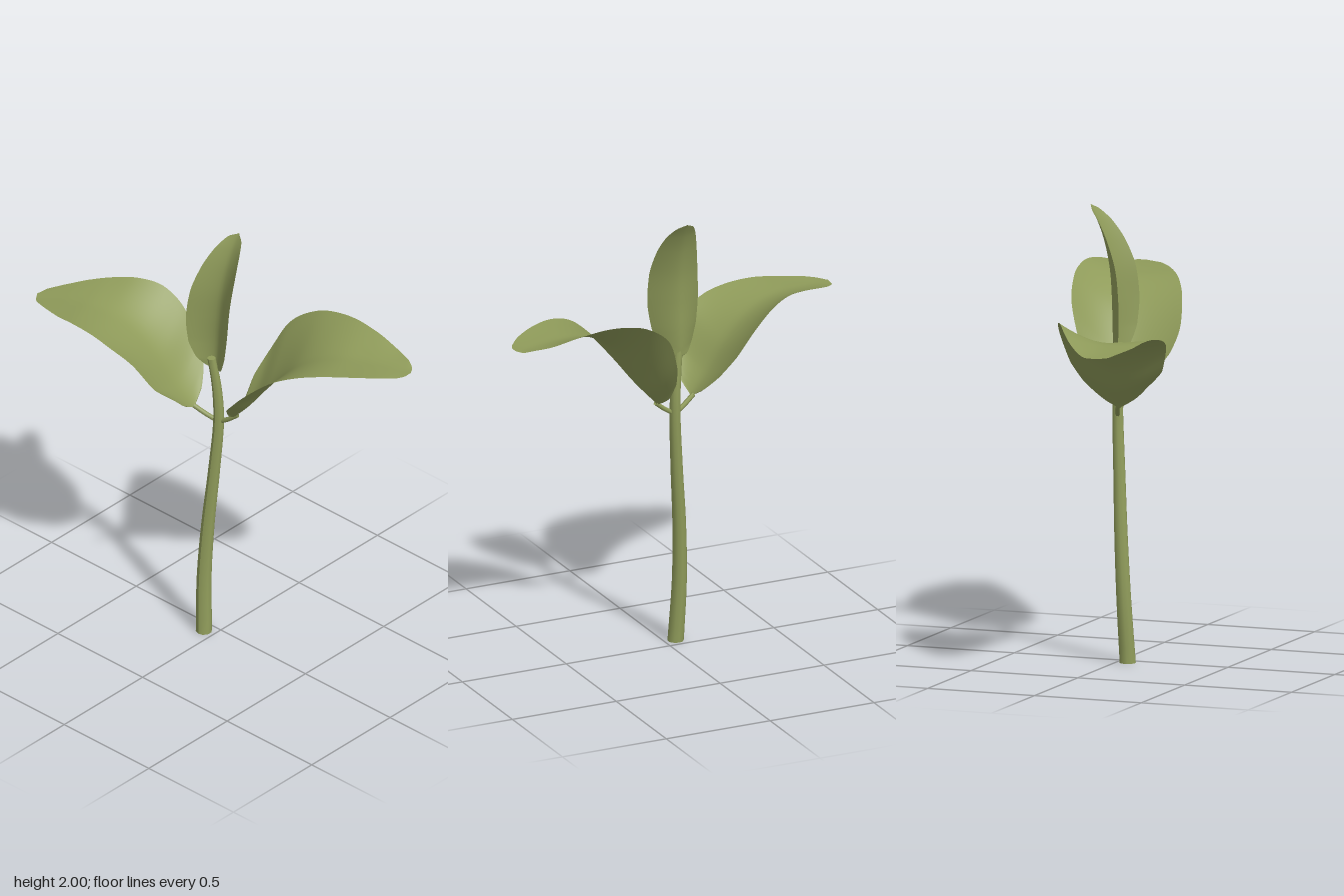
import * as THREE from 'three';

const leafGreen = new THREE.MeshStandardMaterial({ color: 0x8f9b5a, side: THREE.DoubleSide });
leafGreen.name = 'leafGreen';

const V = (x, y, z) => new THREE.Vector3(x, y, z);

// Cupped blade: rows are [centre, half width, rim lift on + side, rim lift on - side]
function bladeGeometry(rows, side, lift) {
  const spine = new THREE.CatmullRomCurve3(rows.map(r => r[0]));
  const size = new THREE.CatmullRomCurve3(rows.map(r => V(r[1], r[2], r[3])));
  const nu = 66, nv = 16, pos = [], idx = [];
  for (let i = 0; i <= nu; i++) {
    const c = spine.getPoint(i / nu), s = size.getPoint(i / nu);
    for (let j = 0; j <= nv; j++) {
      const v = (j / nv) * 2 - 1;
      const rise = Math.pow(Math.abs(v), 1.6) * (v > 0 ? s.y : s.z);
      const p = c.clone().addScaledVector(side, v * Math.max(s.x, 0.003)).addScaledVector(lift, rise);
      pos.push(p.x, p.y, p.z);
      if (i < nu && j < nv) {
        const a = i * (nv + 1) + j, b = a + nv + 1;
        idx.push(a, a + 1, b, a + 1, b + 1, b);
      }
    }
  }
  const g = new THREE.BufferGeometry();
  g.setAttribute('position', new THREE.Float32BufferAttribute(pos, 3));
  g.setIndex(idx);
  g.computeVertexNormals();
  return g;
}

// Arching leaf: rows are [distance out, height, half width, front lift, back lift]
function archingLeaf(bx, bz, dx, dz, rows) {
  const k = Math.sign(dx);
  return bladeGeometry(
    rows.map(([s, y, w, f, b]) => [V(bx + dx * s, y, bz + dz * s), w, f, b]),
    V(-dz * k, 0, dx * k), V(0, 1, 0));
}

export function createModel() {
  const plant = new THREE.Group();
  plant.name = 'seedling';
  const add = (name, geometry) => {
    const m = new THREE.Mesh(geometry, leafGreen);
    m.name = name;
    plant.add(m);
  };

  // Tapered stem, bent along a curve
  const H = 1.405;
  const path = new THREE.CatmullRomCurve3([
    V(-0.052, 0, 0.052), V(-0.063, 0.28, 0.038), V(-0.055, 0.55, 0.022),
    V(-0.035, 0.82, 0.006), V(-0.02, 1.1, -0.008), V(-0.03, 1.27, -0.004), V(-0.048, H, 0.008)]);
  const stem = new THREE.CylinderGeometry(0.018, 0.036, H, 10, 24);
  const p = stem.attributes.position;
  for (let i = 0; i < p.count; i++) {
    const c = path.getPoint(p.getY(i) / H + 0.5);
    p.setXYZ(i, p.getX(i) + c.x, c.y, p.getZ(i) + c.z);
  }
  stem.computeVertexNormals();
  add('stem', stem);

  // Leaf stalks
  const stalk = (...pts) => new THREE.TubeGeometry(new THREE.CatmullRomCurve3(pts), 6, 0.011, 6);
  add('leftStalk', stalk(V(-0.02, 1.08, -0.008), V(0.03, 1.11, -0.012), V(0.08, 1.15, -0.02)));
  add('rightStalk', stalk(V(-0.02, 1.08, -0.008), V(-0.07, 1.102, 0.012), V(-0.128, 1.135, 0.035)));

  // Large leaf on the model's left
  add('leftLeaf', archingLeaf(0.07, -0.02, 0.954, -0.3, [
    [0, 1.14, 0, 0, 0], [0.006, 1.15, 0.08, 0.04, 0.04], [0.02, 1.165, 0.14, 0.09, 0.11],
    [0.07, 1.22, 0.2, 0.11, 0.17], [0.145, 1.32, 0.235, 0.1, 0.21], [0.28, 1.48, 0.235, 0.055, 0.15],
    [0.38, 1.55, 0.22, 0.03, 0.11], [0.49, 1.59, 0.195, 0.015, 0.08], [0.62, 1.605, 0.155, 0.01, 0.05],
    [0.73, 1.61, 0.11, 0.005, 0.02], [0.8, 1.61, 0.068, 0, 0.01], [0.83, 1.61, 0.035, 0, 0],
    [0.84, 1.61, 0, 0, 0]]));

  // Smaller leaf on the model's right
  add('rightLeaf', archingLeaf(-0.12, 0.04, -0.97, 0.245, [
    [0, 1.13, 0, 0, 0], [0.008, 1.14, 0.08, 0.04, 0.04], [0.035, 1.17, 0.15, 0.08, 0.08],
    [0.09, 1.23, 0.2, 0.08, 0.11], [0.18, 1.345, 0.23, 0.08, 0.12], [0.28, 1.43, 0.23, 0.045, 0.11],
    [0.39, 1.48, 0.205, 0.02, 0.08], [0.5, 1.495, 0.175, 0.01, 0.05], [0.6, 1.49, 0.14, 0.005, 0.03],
    [0.7, 1.48, 0.09, 0.005, 0.01], [0.755, 1.476, 0.05, 0, 0], [0.775, 1.475, 0, 0, 0]]));

  // Upright leaf at the tip: rows are [x, y, z, half width, forward lift]
  add('topLeaf', bladeGeometry([
    [-0.045, 1.338, -0.012, 0, 0], [-0.044, 1.35, -0.013, 0.04, 0.015], [-0.043, 1.39, -0.016, 0.075, 0.045],
    [-0.041, 1.47, -0.02, 0.107, 0.068], [-0.037, 1.6, -0.024, 0.122, 0.075], [-0.032, 1.73, -0.036, 0.116, 0.07],
    [-0.026, 1.85, -0.064, 0.095, 0.05], [-0.022, 1.93, -0.095, 0.069, 0.03], [-0.02, 1.98, -0.122, 0.038, 0.01],
    [-0.018, 2, -0.135, 0, 0]
  ].map(([x, y, z, w, l]) => [V(x, y, z), w, l, l]), V(1, 0, 0), V(0, 0, 1)));

  return plant;
}
